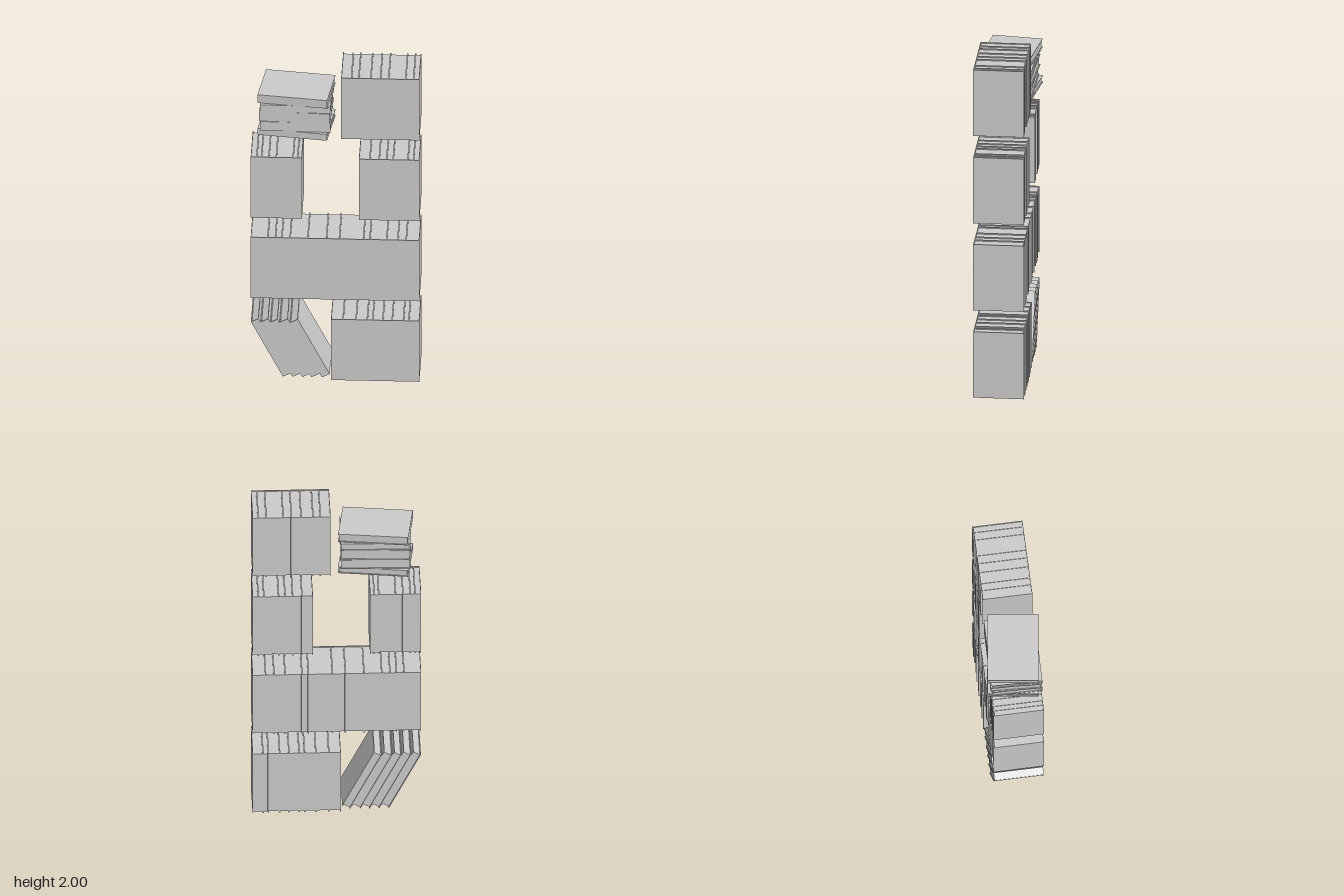
import * as THREE from 'three';

const HEIGHT = 0.402, DEPTH = 0.29, COVER = 0.004, INSET = 0.006;
const material = new THREE.MeshStandardMaterial({ color: 0xcccccc });

// One hardcover book standing on its origin, spine towards +z
function makeBook(width) {
  const book = new THREE.Group();
  book.name = 'book';
  const w = width / 2, d = DEPTH / 2, i = w - COVER, s = -d + COVER;

  // U-shaped cover: spine and two boards
  const outline = new THREE.Shape([
    [-w, -d], [w, -d], [w, d], [i, d], [i, s], [-i, s], [-i, d], [-w, d],
  ].map(([x, y]) => new THREE.Vector2(x, y)));
  const coverGeo = new THREE.ExtrudeGeometry(outline, { depth: HEIGHT, bevelEnabled: false });
  coverGeo.rotateX(-Math.PI / 2);
  const cover = new THREE.Mesh(coverGeo, material);
  cover.name = 'cover';

  // Page block, set back from the board edges
  const pageDepth = DEPTH - COVER - INSET;
  const pages = new THREE.Mesh(
    new THREE.BoxGeometry(2 * i, HEIGHT - 2 * INSET, pageDepth), material);
  pages.name = 'pages';
  pages.position.set(0, HEIGHT / 2, -d + INSET + pageDepth / 2);

  book.add(cover, pages);
  return book;
}

// Upright books filling the spans between consecutive x positions
function makeRow(name, y, edges) {
  const row = new THREE.Group();
  row.name = name;
  row.position.y = y;
  for (let k = 0; k < edges.length - 1; k++) {
    const book = makeBook(edges[k + 1] - edges[k]);
    book.position.x = (edges[k] + edges[k + 1]) / 2;
    row.add(book);
  }
  return row;
}

// Books tipped to the left, each resting on its lower corner
function makeLeaningBooks() {
  const group = new THREE.Group();
  group.name = 'leaningBooks';
  const angle = THREE.MathUtils.degToRad(27);
  const widths = [0.049, 0.049, 0.047, 0.053, 0.05];
  let x = -0.298;
  for (const width of widths) {
    const book = makeBook(width);
    book.rotation.z = angle;
    book.position.set(
      x + Math.cos(angle) * width / 2, 0.016 + Math.sin(angle) * width / 2, 0);
    group.add(book);
    x += width / Math.cos(angle);
  }
  return group;
}

// Flat pile, every book turned by its own angle
function makeStack() {
  const stack = new THREE.Group();
  stack.name = 'stackedBooks';
  const levels = [1.598, 1.64, 1.70, 1.765, 1.81, 1.863];
  const turns = [-7.5, -0.8, -2.8, -0.8, -7.2];
  turns.forEach((turn, k) => {
    const book = makeBook(levels[k + 1] - levels[k]);
    book.rotation.z = Math.PI / 2;
    book.position.x = HEIGHT / 2;
    const pivot = new THREE.Group();
    pivot.name = 'flatBook';
    pivot.add(book);
    pivot.rotation.y = THREE.MathUtils.degToRad(turn);
    pivot.position.set(-0.226, (levels[k] + levels[k + 1]) / 2, 0);
    stack.add(pivot);
  });
  return stack;
}

export function createModel() {
  const model = new THREE.Group();
  model.name = 'shelfBooks';
  model.add(
    makeRow('bottomRow', 0,
      [-0.024, 0.045, 0.119, 0.183, 0.214, 0.272, 0.325, 0.389, 0.42, 0.48]),
    makeRow('secondRow', 0.533,
      [-0.482, -0.384, -0.341, -0.304, -0.257, -0.156, -0.05, 0.024, 0.161,
        0.198, 0.294, 0.357, 0.405, 0.48]),
    makeRow('thirdRowRight', 1.064,
      [-0.482, -0.447, -0.42, -0.378, -0.336, -0.24, -0.214, -0.19]),
    makeRow('thirdRowLeft', 1.064,
      [0.135, 0.198, 0.251, 0.294, 0.331, 0.415, 0.447, 0.48]),
    makeRow('topRow', 1.598,
      [0.034, 0.093, 0.135, 0.203, 0.258, 0.305, 0.402, 0.447, 0.48]),
    makeLeaningBooks(),
    makeStack(),
  );
  return model;
}
